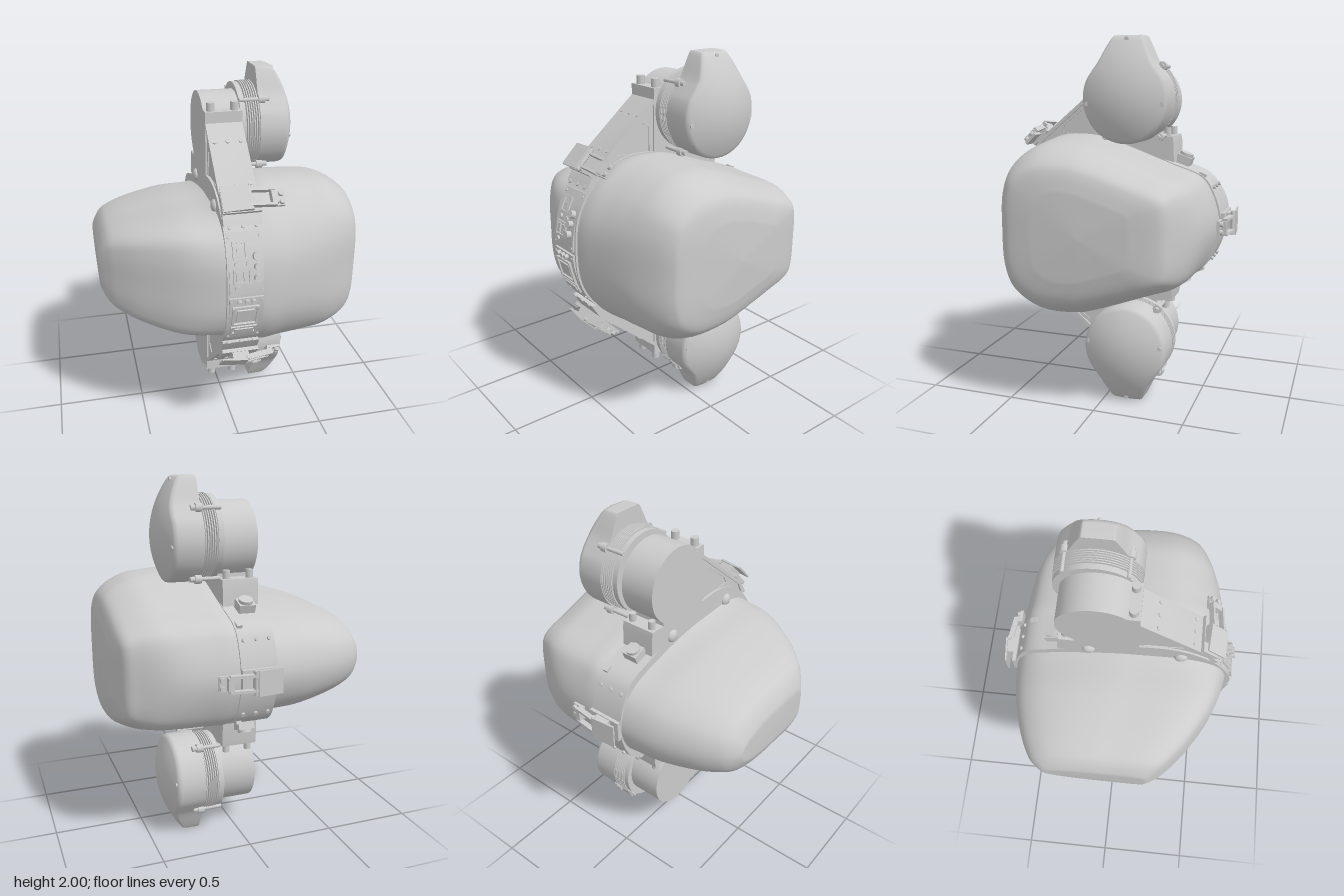
import * as THREE from 'three';
import { toCreasedNormals } from 'three/addons/utils/BufferGeometryUtils.js';

const grey = new THREE.MeshStandardMaterial({ color: 0xcccccc, side: THREE.DoubleSide });
const lerp = THREE.MathUtils.lerp;

function add(parent, name, geo, x = 0, y = 0, z = 0, rx = 0) {
  const m = new THREE.Mesh(geo, grey);
  m.name = name;
  m.position.set(x, y, z);
  m.rotation.x = rx;
  parent.add(m);
  return m;
}
const box = (w, h, d) => new THREE.BoxGeometry(w, h, d);
const cylX = (r, len, n = 40) => new THREE.CylinderGeometry(r, r, len, n).rotateZ(Math.PI / 2);
const cylY = (r, len, n = 12) => new THREE.CylinderGeometry(r, r, len, n);
const cylZ = (r, len, n = 12) => new THREE.CylinderGeometry(r, r, len, n).rotateX(Math.PI / 2);

// Extrude a (z, y) outline between two x positions
function extrudeX(pts, x0, x1, hole) {
  const s = new THREE.Shape(pts.map(p => new THREE.Vector2(p[0], p[1])));
  if (hole) s.holes.push(new THREE.Path(hole.map(p => new THREE.Vector2(p[0], p[1]))));
  const g = new THREE.ExtrudeGeometry(s, { depth: x1 - x0, bevelEnabled: false });
  return toCreasedNormals(g.rotateY(-Math.PI / 2).translate(x1, 0, 0), 0.5);
}

// Skin closed rings of equal length, ordered by growing x
function loft(rings) {
  const n = rings[0].length, pos = [], idx = [];
  rings.forEach(r => r.forEach(p => pos.push(...p)));
  for (let i = 0; i < rings.length - 1; i++) {
    for (let j = 0; j < n; j++) {
      const k = (j + 1) % n, a = i * n + j, b = i * n + k;
      idx.push(a, a + n, b, b, a + n, b + n);
    }
  }
  const g = new THREE.BufferGeometry();
  g.setAttribute('position', new THREE.Float32BufferAttribute(pos, 3));
  g.setIndex(idx);
  g.computeVertexNormals();
  return g;
}

// Half outlines, front to back: [depth fraction, height fraction]; right end, middle, left end
const OUTLINES = [
  [[0, 0], [.004, .55], [.03, .85], [.12, 1], [.4, 1], [.55, .98], [.75, .87], [.88, .69], [.965, .42], [1, 0]],
  [[0, 0], [.02, .42], [.1, .75], [.25, .99], [.42, 1], [.5, .95], [.78, .69], [.91, .56], [.955, .42], [1, 0]],
  [[0, 0], [.008, .5], [.055, .78], [.2, .99], [.42, 1], [.5, .96], [.8, .73], [.94, .61], [.985, .5], [1, 0]]];
// blend runs 0..2 through the outlines
function section(zf, zb, h, blend, n = 96) {
  const k = blend > 1 ? 1 : 0;
  const half = OUTLINES[k].map((p, i) => {
    const q = OUTLINES[k + 1][i];
    return [lerp(zf, zb, lerp(p[0], q[0], blend - k)), h * lerp(p[1], q[1], blend - k)];
  });
  const all = [...half, ...half.slice(1, -1).reverse().map(p => [p[0], -p[1]])];
  const c = new THREE.CatmullRomCurve3(all.map(p => new THREE.Vector3(p[0], 1 + p[1], 0)), true, 'centripetal');
  return c.getPoints(n).slice(0, n).map(p => [p.x, p.y]);
}

function bodyGeometry() {
  // x, half height, front z, back z, outline blend
  const S = [
    [-.71, .07, .2, -.35, 0], [-.705, .115, .215, -.37, 0], [-.67, .185, .265, -.42, 0], [-.62, .225, .32, -.46, 0],
    [-.5, .27, .42, -.515, 0], [-.3, .32, .54, -.57, .1], [-.1, .35, .6, -.59, .4],
    [.1, .46, .61, -.59, 1], [.25, .468, .585, -.58, 1], [.4, .458, .55, -.56, 1.2], [.5, .445, .515, -.525, 1.5],
    [.59, .405, .47, -.475, 1.8], [.65, .36, .425, -.435, 2], [.677, .31, .38, -.37, 2], [.696, .22, .25, -.25, 2]];
  const mk = f => new THREE.CatmullRomCurve3(S.map(f), false, 'catmullrom', .5);
  const a = mk(s => new THREE.Vector3(s[0], s[1], s[4])), b = mk(s => new THREE.Vector3(s[2], s[3], 0));
  const rings = [], N = 70;
  for (let i = 0; i <= N; i++) {
    const p = a.getPoint(i / N), q = b.getPoint(i / N);
    rings.push(section(q.x, q.y, p.y, p.z).map(v => [p.x, v[1], v[0]]));
  }
  rings.unshift(rings[0].map(() => [-.711, 1, -.08]));
  rings.push(rings[0].map(() => [.706, 1, 0]));
  return loft(rings);
}

// Teardrop cover outline around the motor axis, front to top to back
const CZ = -.13, CY = 1.68;
function coverOutline() {
  const side = [[0, -.238], [.09, -.22], [.168, -.168], [.215, -.09], [.232, 0], [.215, .085],
    [.18, .14], [.145, .19], [.105, .275], [.08, .318], [.07, .32], [0, .32]];
  const c = [...side, ...side.slice(1, -1).reverse().map(p => [-p[0], p[1]])];
  const curve = new THREE.CatmullRomCurve3(c.map(p => new THREE.Vector3(p[0], p[1], 0)), true, 'centripetal');
  return curve.getPoints(88).slice(0, 88).map(p => [p.x, Math.min(p.y, .32)]);
}
function coverGeometry() {
  const o = coverOutline(), rings = [];
  const ring = (s, fx) => o.map(p => [fx(Math.hypot(p[0], p[1]) * s), CY + p[1] * s, CZ + p[0] * s]);
  const dome = r => .422 - 1.13 * r * r;
  rings.push(ring(0, () => .207), ring(1, () => .207), ring(1, () => .207));
  rings.push(ring(.995, r => dome(r) - .015));
  for (let i = 0; i <= 14; i++) rings.push(ring(.975 * (1 - i / 14), dome));
  return loft(rings);
}

function bolt(parent, x, y, z, rx, r = .011) {
  add(parent, 'bolt', cylZ(r, .012, 10), x, y, z, rx);
}
function boltRow(parent, y, z, rx) {
  for (const x of [-.07, 0, .07]) bolt(parent, x, y, z, rx);
}

// Motor pod with its bracket (upper one)
function makePod() {
  const g = new THREE.Group();
  g.name = 'upperPod';
  const hz = -.11, hy = 1.66, shape = [[.1, 1.4], [.1, 1.77], [.065, 1.78]];
  for (let i = 0; i <= 32; i++) {
    const a = Math.PI * lerp(.2, 1.3, i / 32);
    shape.push([hz + .21 * Math.cos(a), hy + .21 * Math.sin(a)]);
  }
  shape.push([-.24, 1.36]);
  add(g, 'motorHousing', extrudeX(shape, -.1, .1));
  add(g, 'housingFlange', cylX(.225, .03), .115, CY, CZ);
  add(g, 'finCore', cylX(.195, .1), .16, CY, CZ);
  for (let i = 0; i < 6; i++) add(g, 'coolingFin', cylX(.23, .006), .138 + i * .0125, CY, CZ);
  add(g, 'motorCover', coverGeometry());
  // cover screws, ears and standoffs around the rim
  for (const [z, y] of [[.03, 1.842], [-.295, 1.842], [.015, 1.475], [-.28, 1.475]]) {
    add(g, 'standoff', cylX(.011, .15, 12), .175, y, z);
    add(g, 'coverEar', cylX(.024, .035, 16), .222, y, z);
    add(g, 'standoffHead', cylX(.015, .025, 12), .252, y, z);
  }
  for (const [z, y, x] of [[CZ, 1.978, .318], [.072, 1.65, .37], [-.332, 1.65, .37]])
    add(g, 'coverScrew', cylX(.012, .016, 12), x, y, z);
  // mounting plate, clamp ledge and rear foot
  add(g, 'mountPlate', box(.2, .36, .04), 0, 1.6, .085);
  add(g, 'clampLedge', box(.2, .05, .08), 0, 1.78, .065);
  add(g, 'rearFoot', extrudeX([[-.2, 1.36], [-.2, 1.47], [-.32, 1.47], [-.325, 1.44], [-.33, 1.33]], -.1, .1));
  for (const x of [-.065, .065]) {
    add(g, 'clampBolt', cylY(.023, .05, 12), x, 1.825, .07);
    add(g, 'rearFootBolt', cylY(.02, .05, 12), x, 1.49, -.285);
  }
  // diagonal strap with recessed side webs
  add(g, 'strutCore', extrudeX([[.47, 1.37], [.45, 1.44], [.1, 1.73], [.1, 1.37]], -.085, .085));
  const web = [[.5, 1.36], [.46, 1.43], [.1, 1.73], [.1, 1.37]];
  const recess = [[.34, 1.48], [.32, 1.52], [.18, 1.63], [.13, 1.6], [.13, 1.46]];
  add(g, 'strutWeb', extrudeX(web, -.09, -.085, recess));
  add(g, 'strutWeb', extrudeX(web, .085, .09, recess));
  add(g, 'strutStrap', extrudeX([[.535, 1.34], [.48, 1.43], [.1, 1.75], [.1, 1.725], [.46, 1.42], [.5, 1.34]], -.1, .1));
  boltRow(g, 1.67, .195, -.88);
  boltRow(g, 1.505, .39, -.88);
  boltRow(g, 1.34, .535, -.6);
  // side ears, rear cable socket and rear band details
  for (const z of [.33, -.16]) add(g, 'sideEar', new THREE.SphereGeometry(.036, 16, 10).scale(.6, 1, 1), -.1, 1.375, z);
  add(g, 'socketBlock', box(.09, .08, .08), -.01, 1.32, -.36, -.35);
  add(g, 'socket', cylY(.038, .025, 24), -.01, 1.362, -.375, -.35);
  add(g, 'rearTab', box(.03, .03, .04), .075, 1.26, -.485, -.4);
  boltRow(g, 1.2, -.55, -Math.PI + .4);
  return g;
}

// Copy mirrored about y = 1, with windings corrected
function mirrorDown(src, name) {
  const g = new THREE.Group();
  g.name = name;
  const flip = new THREE.Matrix4().makeScale(1, -1, 1).setPosition(0, 2, 0);
  src.children.forEach(m => {
    m.updateMatrix();
    const geo = m.geometry.clone().applyMatrix4(flip.clone().multiply(m.matrix));
    const ix = geo.index ? Array.from(geo.index.array) : [...Array(geo.attributes.position.count).keys()];
    for (let i = 0; i < ix.length; i += 3) [ix[i], ix[i + 1]] = [ix[i + 1], ix[i]];
    geo.setIndex(ix);
    add(g, m.name, geo);
  });
  return g;
}

// Toggle latch lying on the strap, local z outward
function makeLatch(y, z, rx) {
  const g = new THREE.Group();
  g.name = 'latch';
  add(g, 'latchBase', box(.2, .12, .02));
  add(g, 'latchBody', box(.09, .11, .045), 0, 0, .03);
  add(g, 'latchLever', box(.14, .135, .01), -.035, 0, .052).rotation.y = -.1;
  for (const s of [-1, 1]) add(g, 'latchArm', box(.15, .014, .03), .1, s * .04, .035).rotation.y = .12;
  add(g, 'latchPin', cylY(.012, .13), .04, 0, .045);
  add(g, 'catchPlate', box(.07, .08, .015), .19);
  add(g, 'catchHook', box(.03, .07, .035), .17, 0, .02);
  for (const s of [-1, 1]) add(g, 'catchScrew', cylZ(.014, .025), .21, s * .022, .012);
  g.position.set(0, y, z);
  g.rotation.x = rx;
  return g;
}

// Controls on the front of the band
function makePanel() {
  const g = new THREE.Group();
  g.name = 'controlPanel';
  const fz = y => .635 - (y - 1) ** 2;
  const put = (name, geo, x, y, out = 0) => add(g, name, geo, x, y, fz(y) + out, -Math.atan(2 * (y - 1)));
  for (const [y0, y1] of [[.7, .985], [1.005, 1.31]]) {
    const ys = Array.from({ length: 9 }, (_, i) => lerp(y0, y1, i / 8));
    const outer = ys.map(y => [fz(y), y]), inner = ys.map(y => [fz(y) - .03, y]).reverse();
    add(g, 'panelPlate', extrudeX([...outer, ...inner], -.09, .09));
    for (const x of [-.08, .08]) for (const y of [y0 + .02, y1 - .02]) put('panelScrew', cylZ(.007, .012), x, y);
  }
  const frame = (name, x, y, w, h, t) => {
    for (const s of [-1, 1]) {
      put(name, box(w, t, .022), x, y + s * (h - t) / 2);
      put(name, box(t, h, .022), x + s * (w - t) / 2, y);
    }
  };
  frame('displayFrame', -.005, .875, .14, .125, .012);
  put('display', box(.09, .08, .016), -.005, .875);
  frame('switchFrame', -.005, .775, .14, .055, .01);
  put('switchRocker', box(.1, .03, .03), -.005, .775);
  frame('networkPort', -.03, 1.23, .075, .085, .012);
  put('networkPortInner', box(.035, .03, .016), -.03, 1.225);
  frame('dataPort', -.025, 1.105, .09, .075, .009);
  for (const x of [-.045, -.005]) put('dataPortInner', box(.025, .05, .02), x, 1.105);
  for (const [y, r] of [[1.2, .022], [1.15, .018], [1.095, .02]]) put('knob', cylZ(r, .045, 20), .055, y, .005);
  for (const x of [-.04, 0, .035]) put('indicator', cylZ(.013, .03), x, .965, .005);
  for (const [x, y] of [[-.05, 1.165], [.01, 1.165], [-.05, 1.045]]) put('stud', cylZ(.013, .025), x, y);
  return g;
}

export function createModel() {
  const model = new THREE.Group();
  model.name = 'podMachine';
  add(model, 'body', bodyGeometry());
  add(model, 'centreBand', extrudeX(section(.622, -.6, .465, 1), -.1, .1));
  const pod = makePod();
  model.add(pod, mirrorDown(pod, 'lowerPod'), makePanel());
  model.add(makeLatch(1.445, .475, -Math.PI / 4), makeLatch(.555, .475, Math.PI / 4), makeLatch(1, -.607, Math.PI));
  return model;
}
